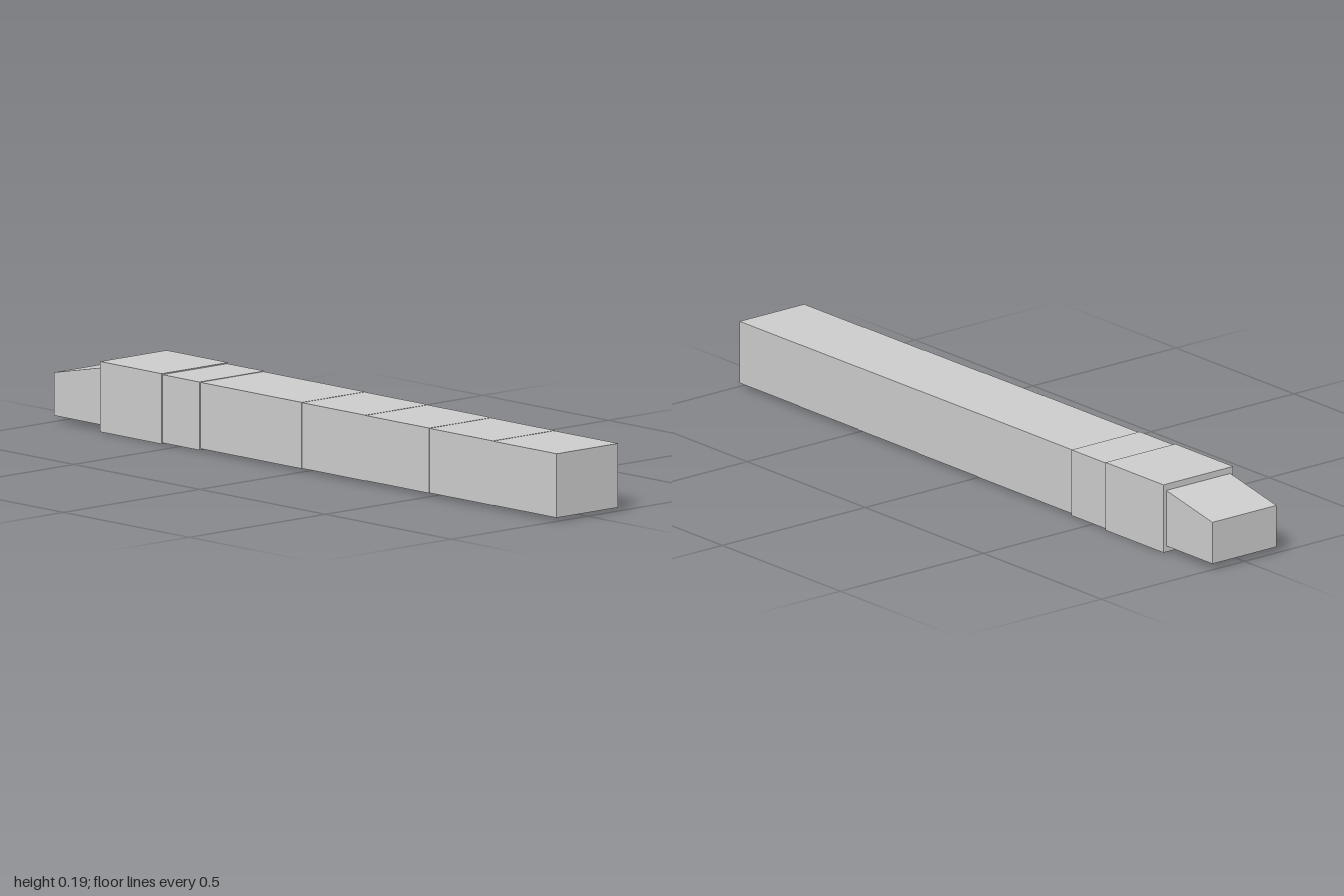
import * as THREE from 'three';

const material = new THREE.MeshStandardMaterial({ color: 0xcccccc, flatShading: true });

// Box section given by its half width and its y and z limits
function section(name, halfWidth, y0, y1, z0, z1) {
  const mesh = new THREE.Mesh(new THREE.BoxGeometry(halfWidth * 2, y1 - y0, z0 - z1), material);
  mesh.position.set(0, (y0 + y1) / 2, (z0 + z1) / 2);
  mesh.name = name;
  return mesh;
}

export function createModel() {
  const model = new THREE.Group();
  model.name = 'telescopicBeam';

  // Telescoping stages, each slightly larger than the one ahead of it
  const joints = [1, 0.747, 0.495, 0.242, -0.01, -0.413];
  for (let i = 0; i < 5; i++) {
    const grow = i * 0.0008;
    model.add(section(`stage${i + 1}`, 0.113 + grow, 0.010 - grow, 0.1855 + grow, joints[i], joints[i + 1]));
  }

  // Thicker sleeves at the rear
  model.add(section('frontSleeve', 0.1195, 0.003, 0.190, -0.413, -0.56));
  model.add(section('rearSleeve', 0.122, 0, 0.193, -0.56, -0.805));

  // Tail block with a sloping cap
  model.add(section('tailBlock', 0.112, 0.017, 0.13, -0.805, -1));
  const profile = new THREE.Shape([
    new THREE.Vector2(0.805, 0.13),
    new THREE.Vector2(1, 0.13),
    new THREE.Vector2(1, 0.135),
    new THREE.Vector2(0.805, 0.175),
  ]);
  const capGeometry = new THREE.ExtrudeGeometry(profile, { depth: 0.224, bevelEnabled: false });
  capGeometry.translate(0, 0, -0.112).rotateY(Math.PI / 2);
  const cap = new THREE.Mesh(capGeometry, material);
  cap.name = 'slopedTailCap';
  model.add(cap);

  return model;
}
